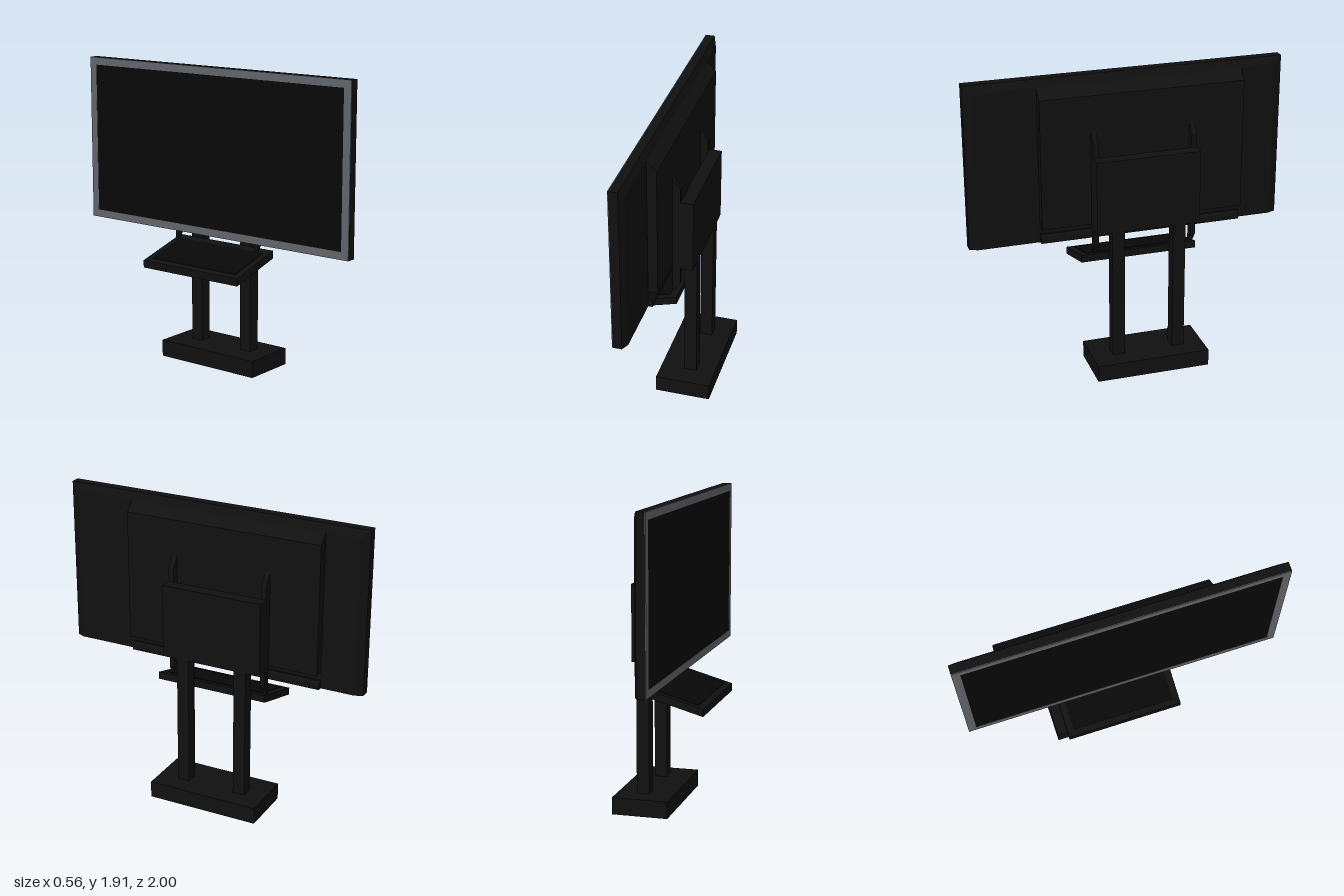
import * as THREE from 'three';

const dark = new THREE.MeshStandardMaterial({ color: 0x101010 });
const black = new THREE.MeshStandardMaterial({ color: 0x080808 });
const grey = new THREE.MeshStandardMaterial({ color: 0x62656a });

export function createModel() {
  const group = new THREE.Group();

  const add = (name, geometry, material = dark) => {
    const mesh = new THREE.Mesh(geometry, material);
    mesh.name = name;
    group.add(mesh);
    return mesh;
  };

  // Box given by its limits on each axis
  const box = (name, [x0, x1], [y0, y1], [z0, z1], material) => {
    const g = new THREE.BoxGeometry(x1 - x0, y1 - y0, z1 - z0);
    g.translate((x0 + x1) / 2, (y0 + y1) / 2, (z0 + z1) / 2);
    return add(name, g, material);
  };

  // Side profile in x and y, extruded from z0 to z1
  const profile = (name, points, z0, z1, material) => {
    const shape = new THREE.Shape(points.map(([x, y]) => new THREE.Vector2(x, y)));
    const g = new THREE.ExtrudeGeometry(shape, { depth: z1 - z0, bevelEnabled: false });
    g.translate(0, 0, z0);
    return add(name, g, material);
  };

  // Display housing, its rear edge chamfered at the top and both ends
  const housing = new THREE.BoxGeometry(2, 2, 2, 2, 1, 1).toNonIndexed();
  const p = housing.attributes.position;
  for (let i = 0; i < p.count; i++) {
    const step = Math.round(p.getX(i)) + 1;
    const inset = step === 2 ? 0.05 : 0;
    const top = p.getY(i) > 0;
    p.setXYZ(i, [-0.105, -0.05, -0.028][step], top ? 1.91 - inset : 0.865,
      Math.sign(p.getZ(i)) * (1 - inset));
  }
  housing.computeVertexNormals();
  add('displayHousing', housing);

  // Grey bezel around the dark screen, both on the -x face
  const rect = (path, w, h) => path.moveTo(-w, -h).lineTo(w, -h).lineTo(w, h).lineTo(-w, h).closePath();
  const bezelShape = rect(new THREE.Shape(), 1, 0.5225);
  bezelShape.holes.push(rect(new THREE.Path(), 0.95, 0.475));
  const bezel = add('bezel',
    new THREE.ExtrudeGeometry(bezelShape, { depth: 0.004, bevelEnabled: false }), grey);
  bezel.rotation.y = -Math.PI / 2;
  bezel.position.set(-0.105, 1.3875, 0);
  box('screen', [-0.107, -0.1], [0.9125, 1.8625], [-0.95, 0.95], black);

  // Electronics cover and lower speaker strip behind the display
  profile('rearCover', [[-0.04, 0.97], [0.032, 0.97], [0.032, 1.8], [-0.028, 1.86], [-0.04, 1.86]], -0.73, 0.56);
  profile('speakerStrip', [[-0.04, 0.865], [0, 0.865], [0, 0.89], [-0.005, 0.91], [-0.014, 0.92], [-0.04, 0.92]], -0.73, 0.56);

  // Two vertical rails carrying the display and the mounting plate
  for (const z of [-0.41, 0.215]) {
    profile('mountRail', [[0.032, 0.775], [0.08, 0.84], [0.08, 1.505], [0.032, 1.575]], z, z + 0.033);
  }
  box('mountPlate', [0.08, 0.16], [0.95, 1.42], [-0.41, 0.248]);

  // Posts and foot
  for (const z of [-0.318, 0.073]) box('post', [0.08, 0.16], [0.1, 0.96], [z, z + 0.08]);
  box('base', [-0.07, 0.28], [0, 0.107], [-0.445, 0.285]);

  // Sloping shelf with a thin inset pad
  profile('shelf', [[-0.283, 0.64], [0.08, 0.742], [0.08, 0.79], [-0.283, 0.687]], -0.412, 0.328);
  profile('shelfPad', [[-0.245, 0.69], [0.03, 0.768], [0.03, 0.779], [-0.245, 0.701]], -0.37, 0.286, black);

  return group;
}
